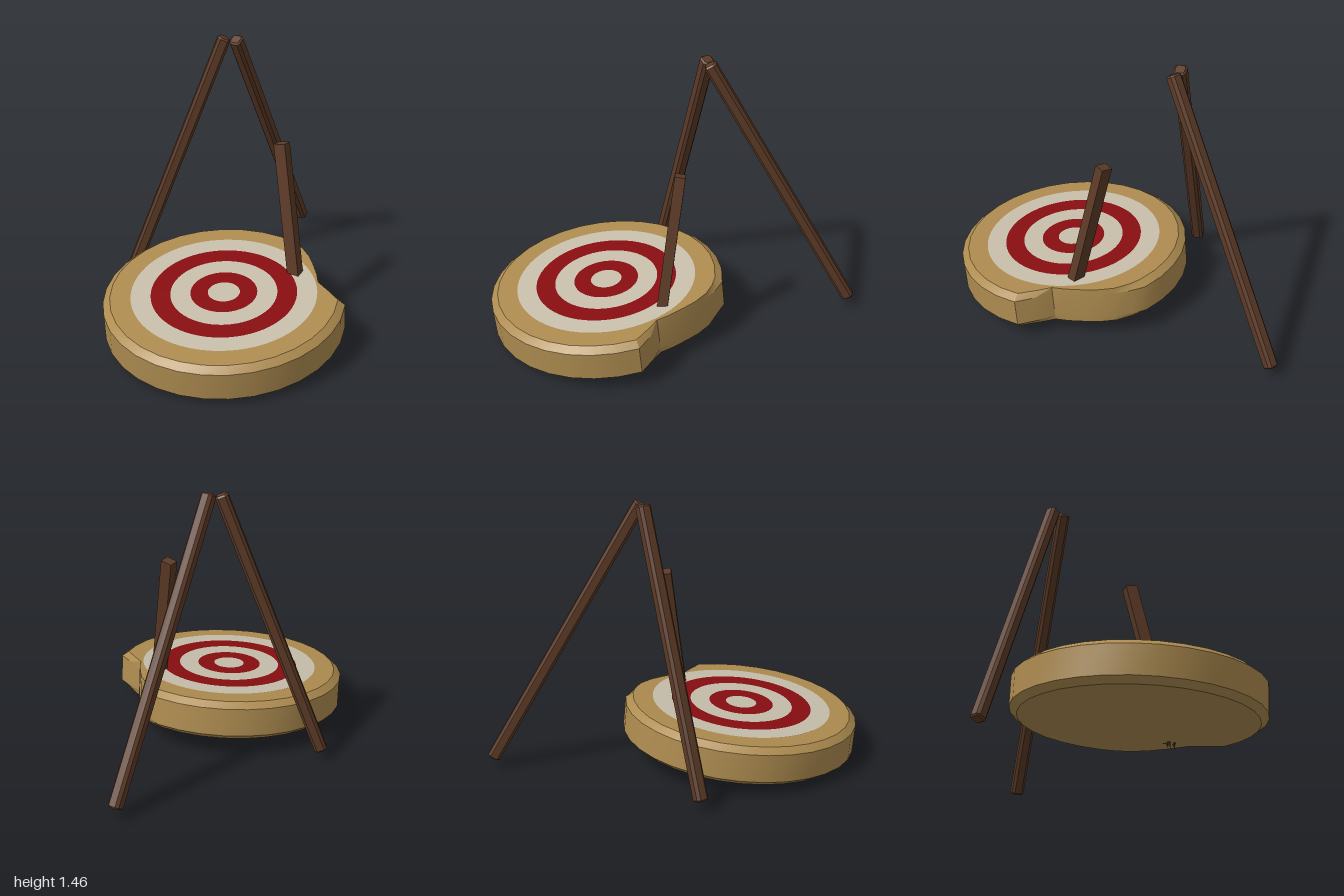
import * as THREE from 'three';
import { toCreasedNormals } from 'three/addons/utils/BufferGeometryUtils.js';

const material = (name, color, side = THREE.FrontSide) => {
  const m = new THREE.MeshStandardMaterial({ color, side });
  m.name = name;
  return m;
};

// Straw disc with bevelled rims and a chunk broken out of its back right edge
function strawDiscGeometry() {
  const R = 0.635, outline = [];
  const steps = 26, start = -21.3, end = 272;
  for (let i = 0; i <= steps; i++) outline.push([start + ((end - start) * i) / steps, R, 0.038]);
  // broken edge: angle, radius, bevel inset
  outline.push([279, 0.612, 0.02], [287, 0.585, 0.004], [296, 0.558, 0.002], [304.3, 0.533, 0.002],
    [314, 0.515, 0.002], [322, 0.505, 0.004], [330, 0.565, 0.025]);
  const levels = [[-0.105, 1], [-0.075, 0], [0.075, 0], [0.105, 1]];
  const n = outline.length, pos = [], index = [];
  for (const [y, inset] of levels) {
    for (const [deg, r, bevel] of outline) {
      const a = THREE.MathUtils.degToRad(deg), q = r - bevel * inset;
      pos.push(q * Math.cos(a), y, q * Math.sin(a));
    }
  }
  const bottom = pos.length / 3, top = bottom + 1, last = (levels.length - 1) * n;
  pos.push(0, -0.105, 0, 0, 0.105, 0);
  for (let i = 0; i < n; i++) {
    const k = (i + 1) % n;
    for (let j = 0; j < levels.length - 1; j++) {
      const a = j * n + i, b = j * n + k;
      index.push(a, a + n, b, b, a + n, b + n);
    }
    index.push(bottom, i, k, last + i, top, last + k);
  }
  const g = new THREE.BufferGeometry();
  g.setAttribute('position', new THREE.Float32BufferAttribute(pos, 3));
  g.setIndex(index);
  return toCreasedNormals(g, 0.5);
}

// Square pole with chamfered edges and ends, centred along z
function chamferedPole(width, length) {
  const bevel = 0.009, h = width / 2 - bevel, c = 0.009;
  const shape = new THREE.Shape([[h, -h + c], [h, h - c], [h - c, h], [-h + c, h],
    [-h, h - c], [-h, -h + c], [-h + c, -h], [h - c, -h]].map(([x, y]) => new THREE.Vector2(x, y)));
  const depth = length - 2 * bevel;
  return new THREE.ExtrudeGeometry(shape, {
    depth, bevelEnabled: true, bevelSize: bevel, bevelThickness: bevel, bevelSegments: 1,
  }).translate(0, 0, -depth / 2);
}

// Group whose z axis runs from the foot to the tip, with its y axis near "up"
function poleFrame(name, tip, foot, up) {
  const a = new THREE.Vector3(...tip), b = new THREE.Vector3(...foot);
  const z = a.clone().sub(b), length = z.length();
  z.normalize();
  const x = new THREE.Vector3(...up).cross(z).normalize();
  const y = z.clone().cross(x);
  const group = new THREE.Group();
  group.name = name;
  group.quaternion.setFromRotationMatrix(new THREE.Matrix4().makeBasis(x, y, z));
  group.position.copy(a).add(b).multiplyScalar(0.5);
  return { group, length };
}

export function createModel() {
  const straw = material('straw', 0xae8c50);
  const white = material('off white', 0xc8bfab);
  const red = material('red', 0x880d10);
  const wood = material('dark wood', 0x5c3a26);
  const model = new THREE.Group();
  model.name = 'brokenTarget';
  const add = (parent, geometry, mat, name) => {
    const mesh = new THREE.Mesh(geometry, mat);
    mesh.name = name;
    parent.add(mesh);
    return mesh;
  };

  // Fallen target face, slightly tilted
  const target = new THREE.Group();
  target.name = 'targetFace';
  target.position.set(0.075, 0.16, 0.355);
  target.rotation.set(0.09, 0, -0.02);
  model.add(target);
  add(target, strawDiscGeometry(), straw, 'strawDisc');

  // Painted rings
  const radii = [0, 0.084, 0.175, 0.28, 0.383, 0.488];
  for (let i = 0; i < radii.length - 1; i++) {
    const ring = new THREE.RingGeometry(radii[i], radii[i + 1], 64).rotateX(-Math.PI / 2);
    add(target, ring, i % 2 ? red : white, i ? 'paintedRing' + i : 'bullseye').position.y = 0.108;
  }

  // Two standing legs
  const legs = [
    ['sideLeg', [-0.222, 1.455, -0.162], [-0.678, 0.05, 0.125]],
    ['backLeg', [-0.16, 1.452, -0.175], [-0.16, 0.052, -0.975]],
  ];
  for (const [name, tip, foot] of legs) {
    const { group, length } = poleFrame(name, tip, foot, [0, 1, 0]);
    add(group, chamferedPole(0.067, length), wood, name + 'Pole');
    model.add(group);
  }

  // Snapped leg driven through the disc, with splinters at its lower end
  const { group, length } = poleFrame('brokenLeg', [0.188, 0.985, -0.047], [0.363, 0.085, 0.06], [0, 0, 1]);
  add(group, new THREE.BoxGeometry(0.066, 0.056, length), wood, 'brokenLegPole');
  [[-0.02, -0.016, 0.05], [0.018, -0.014, 0.035], [-0.012, 0.014, 0.04], [0.02, 0.016, 0.055]].forEach(([x, y, h], i) => {
    const cone = new THREE.ConeGeometry(0.01, h, 4).rotateX(-Math.PI / 2);
    add(group, cone, wood, 'splinter' + (i + 1)).position.set(x, y, -length / 2 - h / 2 + 0.002);
  });
  model.add(group);
  return model;
}
